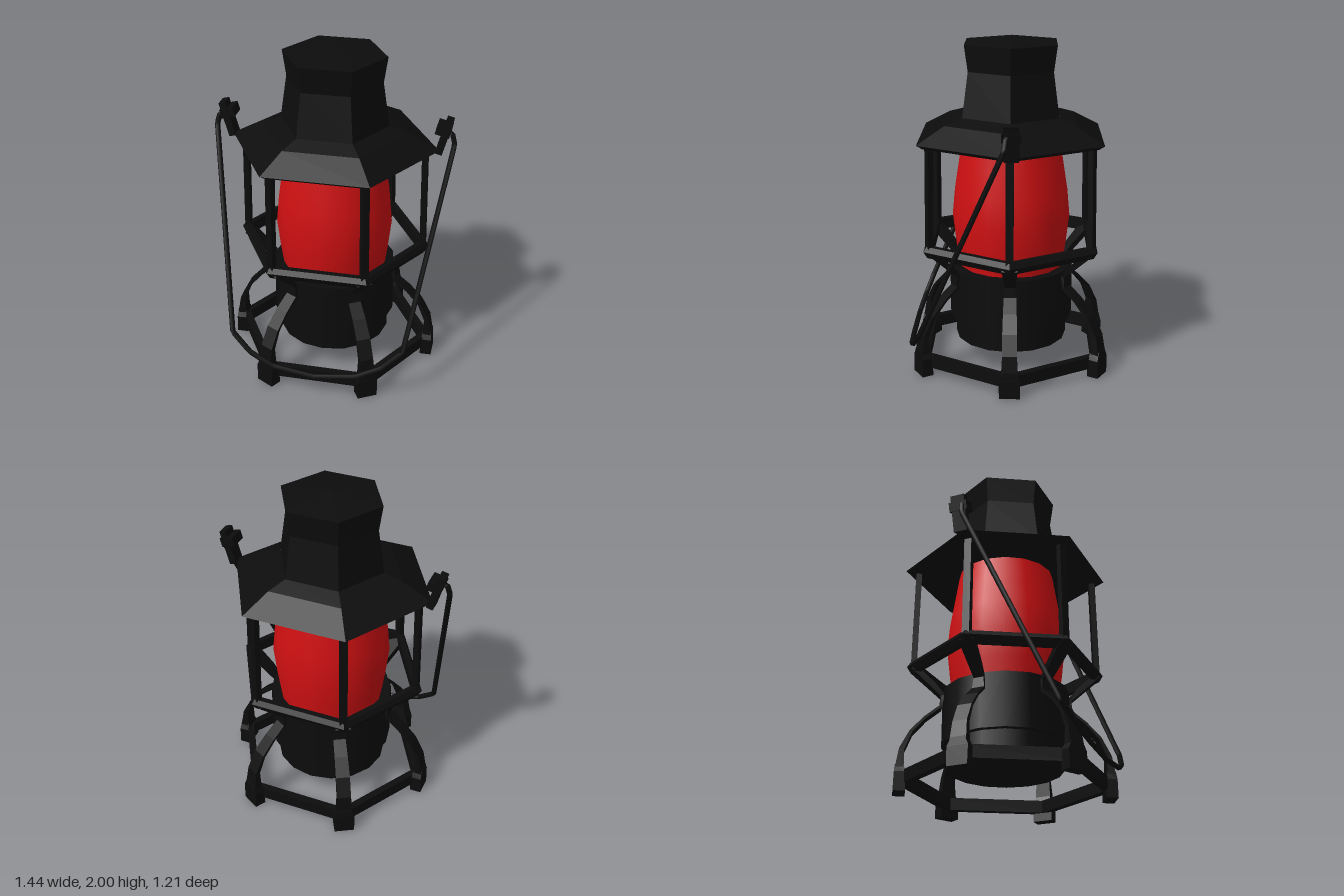
import * as THREE from 'three';

export function createModel() {
  const model = new THREE.Group();
  const body = new THREE.Group();
  body.name = 'lanternBody';
  body.position.z = -0.02;
  model.add(body);

  const black = new THREE.MeshStandardMaterial({ color: 0x0c0c0c });
  black.name = 'blackMetal';
  const red = new THREE.MeshStandardMaterial({ color: 0xd01012 });
  red.name = 'redGlass';

  const add = (parent, name, geometry, material = black) => {
    const mesh = new THREE.Mesh(geometry, material);
    mesh.name = name;
    parent.add(mesh);
    return mesh;
  };
  const flat = (geometry) => {
    const g = geometry.index ? geometry.toNonIndexed() : geometry;
    g.computeVertexNormals();
    return g;
  };
  // Turned profile of [radius, height] pairs; corners start on the x axis
  const turned = (points, sides) => new THREE.LatheGeometry(
    points.map(([r, y]) => new THREE.Vector2(r, y)), sides, Math.PI / 2);

  // Rectangular bar following [radius, height, thickness, width] sections
  const bar = (sections) => {
    const pos = [], index = [], n = sections.length;
    sections.forEach(([r, y, t, w], i) => {
      const a = sections[Math.max(i - 1, 0)], b = sections[Math.min(i + 1, n - 1)];
      const d = new THREE.Vector2(b[0] - a[0], b[1] - a[1]).normalize();
      const nx = -d.y * t / 2, ny = d.x * t / 2;
      for (const [s, u] of [[1, 1], [-1, 1], [-1, -1], [1, -1]])
        pos.push(r + nx * s, y + ny * s, u * w / 2);
    });
    for (let i = 0; i < n - 1; i++) {
      for (let k = 0; k < 4; k++) {
        const a = i * 4 + k, b = i * 4 + (k + 1) % 4;
        index.push(a, b, a + 4, b, b + 4, a + 4);
      }
    }
    const e = (n - 1) * 4;
    index.push(0, 2, 1, 0, 3, 2, e, e + 1, e + 2, e, e + 2, e + 3);
    const g = new THREE.BufferGeometry();
    g.setAttribute('position', new THREE.Float32BufferAttribute(pos, 3));
    g.setIndex(index);
    return flat(g);
  };

  // Hexagonal roof and chimney
  add(body, 'roof', flat(turned([
    [0, 1.40], [0.58, 1.39], [0.62, 1.415], [0.44, 1.51], [0.325, 1.545]], 6)));
  add(body, 'chimney', flat(turned([
    [0.325, 1.54], [0.285, 1.81], [0.308, 1.965], [0, 2.0]], 6)));

  // Glass globe
  add(body, 'globe', turned([
    [0.315, 0.60], [0.335, 0.74], [0.355, 0.92], [0.34, 1.08], [0.315, 1.24], [0.29, 1.40]], 16), red);

  // Fuel tank
  const tank = add(body, 'tank', new THREE.CylinderGeometry(0.375, 0.375, 0.33, 16));
  tank.position.y = 0.455;
  const tankBase = add(body, 'tankBase', new THREE.CylinderGeometry(0.34, 0.34, 0.14, 16));
  tankBase.position.y = 0.225;

  // Hexagonal rails
  add(body, 'middleRail', flat(turned([
    [0.53, 0.73], [0.565, 0.73], [0.59, 0.77], [0.57, 0.80], [0.53, 0.80], [0.53, 0.73]], 6)));
  add(body, 'bottomRail', flat(turned([
    [0.565, 0.05], [0.615, 0.05], [0.615, 0.125], [0.565, 0.125], [0.565, 0.05]], 6)));

  // Six posts, each with a curved leg and foot
  const postGeometry = bar([[0.55, 0.76, 0.035, 0.045], [0.54, 1.41, 0.035, 0.045]]);
  const legGeometry = bar([
    [0.61, 0.11, 0.055, 0.10], [0.60, 0.25, 0.03, 0.085], [0.55, 0.36, 0.018, 0.085],
    [0.47, 0.45, 0.014, 0.08], [0.385, 0.52, 0.016, 0.075], [0.375, 0.59, 0.025, 0.06],
    [0.43, 0.65, 0.035, 0.07], [0.55, 0.76, 0.035, 0.09]]);
  const footGeometry = bar([
    [0.605, 0, 0.07, 0.12], [0.605, 0.11, 0.065, 0.125], [0.61, 0.16, 0.05, 0.08]]);
  for (let i = 0; i < 6; i++) {
    const support = new THREE.Group();
    support.name = 'support' + (i + 1);
    support.rotation.y = i * Math.PI / 3;
    add(support, 'post', postGeometry);
    add(support, 'leg', legGeometry);
    add(support, 'foot', footGeometry);
    body.add(support);
  }

  // Handle lugs on both sides
  for (const side of [1, -1]) {
    const lug = new THREE.Group();
    lug.name = side > 0 ? 'leftLug' : 'rightLug';
    const plate = add(lug, 'lugPlate', new THREE.BoxGeometry(0.042, 0.215, 0.085));
    plate.position.set(side * 0.645, 1.51, -0.03);
    plate.rotation.z = -side * 0.27;
    const block = add(lug, 'lugBlock', new THREE.BoxGeometry(0.085, 0.055, 0.11));
    block.position.set(side * 0.64, 1.555, -0.03);
    block.rotation.z = -side * 0.27;
    model.add(lug);
  }

  // Bail handle, swung down to the front
  const half = [[0.65, 1.55, -0.01], [0.69, 1.545, 0], [0.708, 1.48, 0.008],
    [0.518, 0.335, 0.505], [0.40, 0.235, 0.55], [0.25, 0.17, 0.578]];
  const points = [
    ...half.map(([x, y, z]) => new THREE.Vector3(-x, y, z)),
    new THREE.Vector3(0, 0.14, 0.588),
    ...half.slice().reverse().map(([x, y, z]) => new THREE.Vector3(x, y, z))];
  const path = new THREE.CurvePath();
  for (let i = 0; i < points.length - 1; i++)
    path.add(new THREE.LineCurve3(points[i], points[i + 1]));
  add(model, 'handle', new THREE.TubeGeometry(path, 160, 0.016, 6));

  return model;
}
